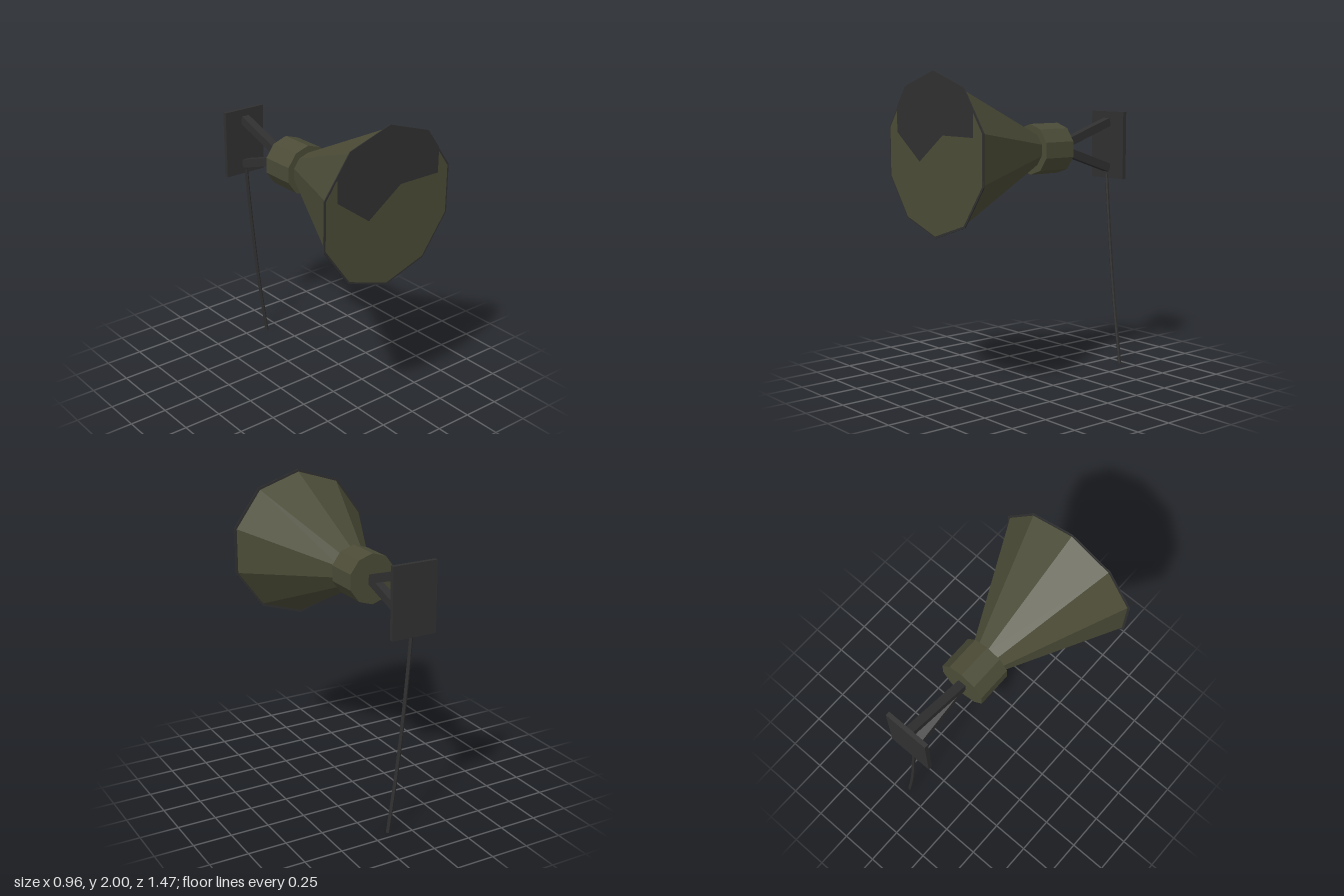
import * as THREE from 'three';

const AXIS_Y = 1.497; // height of the horn's axis

export function createModel() {
  const olive = new THREE.MeshStandardMaterial({ color: 0x4b4b37, flatShading: true });
  olive.name = 'olive';
  const dark = new THREE.MeshStandardMaterial({ color: 0x303030, flatShading: true });
  dark.name = 'charcoal';

  const group = new THREE.Group();
  group.name = 'hornLoudspeaker';

  const add = (name, geometry, material, x = 0, y = 0, z = 0) => {
    const mesh = new THREE.Mesh(geometry, material);
    mesh.name = name;
    mesh.position.set(x, y, z);
    group.add(mesh);
    return mesh;
  };

  // Ten-sided drum lying along z
  const drum = (name, material, rFront, rBack, zFront, zBack) =>
    add(name, new THREE.CylinderGeometry(rFront, rBack, zFront - zBack, 10).rotateX(Math.PI / 2),
      material, 0, AXIS_Y, (zFront + zBack) / 2);

  drum('horn', olive, 0.49, 0.112, 0.733, -0.03);
  drum('hornRim', dark, 0.503, 0.503, 0.731, 0.725);
  drum('driverHousing', olive, 0.163, 0.163, -0.02, -0.25);

  // Dark patch on the upper part of the mouth
  const patch = new THREE.Shape([
    [-0.387, 1.62], [-0.15, 1.45], [0.09, 1.62], [0.387, 1.62], [0.387, 1.78],
    [0.296, 1.904], [0, 2], [-0.296, 1.904], [-0.387, 1.78],
  ].map(([x, y]) => new THREE.Vector2(x, y)));
  add('mouthPatch', new THREE.ShapeGeometry(patch), dark, 0, 0, 0.735);

  // V-shaped bracket: two struts opening towards the wall plate
  for (const side of [1, -1]) {
    const start = new THREE.Vector3(0, AXIS_Y, -0.24);
    const end = new THREE.Vector3(0, AXIS_Y + side * 0.155, -0.703);
    const strut = add(side > 0 ? 'upperStrut' : 'lowerStrut',
      new THREE.BoxGeometry(0.055, 0.055, start.distanceTo(end)), dark);
    strut.position.copy(start).lerp(end, 0.5);
    strut.lookAt(end);
  }

  add('wallPlate', new THREE.BoxGeometry(0.3, 0.45, 0.028), dark, 0, AXIS_Y, -0.717);

  // Hanging cable
  const path = new THREE.CatmullRomCurve3([
    [0, 1.3], [0.025, 1], [0.079, 0.48], [0.147, 0.002],
  ].map(([x, y]) => new THREE.Vector3(x, y, -0.7)));
  add('cable', new THREE.TubeGeometry(path, 12, 0.012, 6), dark);

  return group;
}
